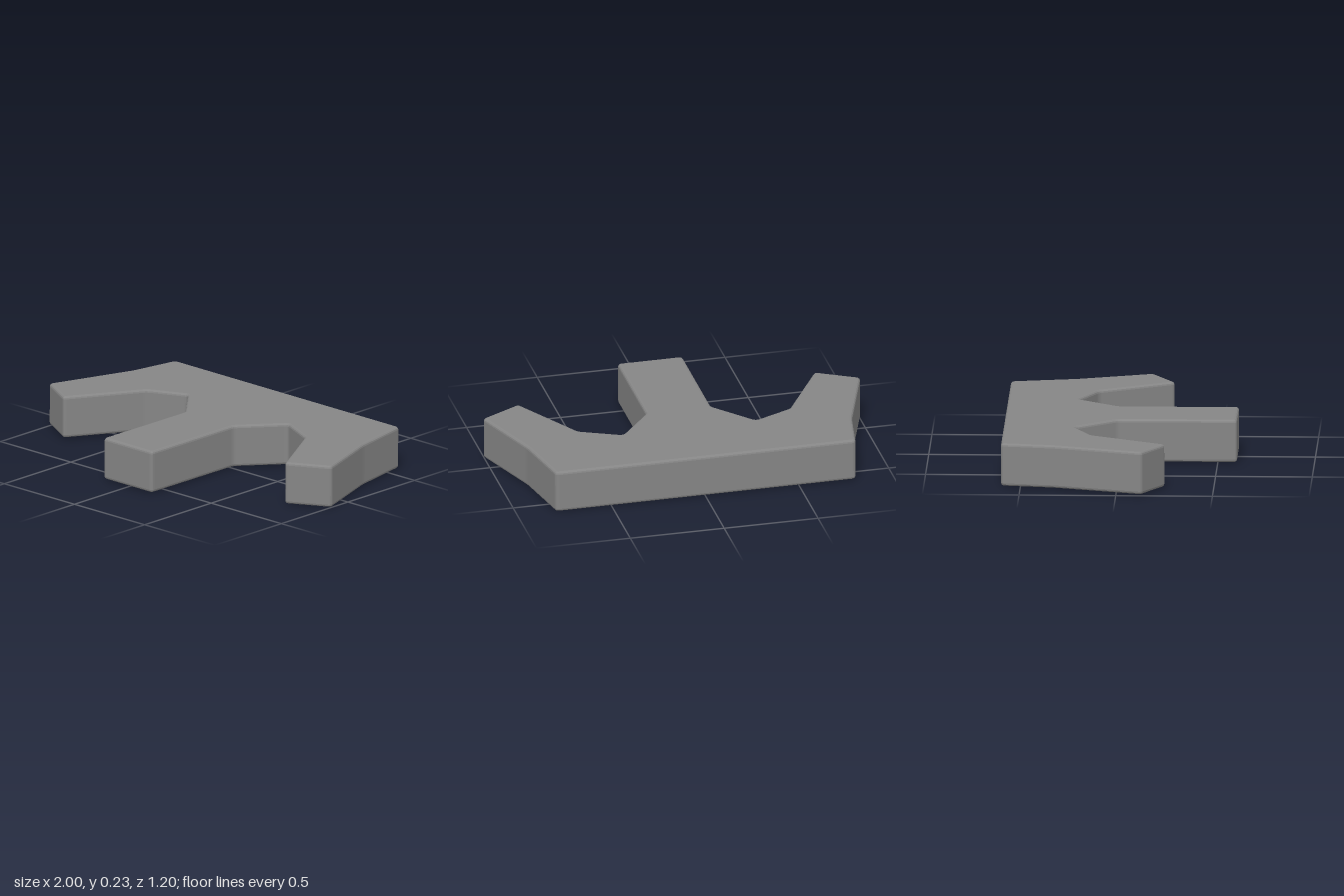
import * as THREE from 'three';

// Plan outline as [x, z], running round the plate
const OUTLINE = [
  [-0.8, -0.601], [-0.848, -0.33], [-1.006, 0.131], [-0.79, 0.251], // right arm, outer side
  [-0.563, -0.138], [-0.36, -0.231], [-0.174, -0.015],              // right notch
  [-0.174, 0.6], [0.172, 0.6],                                      // middle prong
  [0.172, -0.015], [0.35, -0.235], [0.562, -0.138],                 // left notch
  [0.787, 0.251], [1.006, 0.131], [0.866, -0.26], [0.797, -0.601],  // left arm, outer side
];
const THICKNESS = 0.224;
const BEVEL = 0.015;
const CORNER = 0.02;

// Closed shape with every corner slightly rounded
function roundedShape(points, setback) {
  const pts = points.map(([x, z]) => new THREE.Vector2(x, -z));
  const shape = new THREE.Shape();
  pts.forEach((p, i) => {
    const prev = pts[(i + pts.length - 1) % pts.length];
    const next = pts[(i + 1) % pts.length];
    const a = p.clone().add(prev.clone().sub(p).setLength(setback));
    const b = p.clone().add(next.clone().sub(p).setLength(setback));
    if (i === 0) shape.moveTo(a.x, a.y);
    else shape.lineTo(a.x, a.y);
    shape.quadraticCurveTo(p.x, p.y, b.x, b.y);
  });
  shape.closePath();
  return shape;
}

export function createModel() {
  const group = new THREE.Group();
  group.name = 'prongedPlate';

  // Flat plate with three prongs and softened edges
  const geometry = new THREE.ExtrudeGeometry(roundedShape(OUTLINE, CORNER), {
    depth: THICKNESS - 2 * BEVEL,
    bevelEnabled: true,
    bevelThickness: BEVEL,
    bevelSize: BEVEL,
    bevelOffset: -BEVEL,
    bevelSegments: 3,
    curveSegments: 4,
  });
  geometry.translate(0, 0, BEVEL - THICKNESS / 2);
  geometry.rotateX(-Math.PI / 2);
  // The plate lies very slightly tilted
  geometry.rotateZ(-0.003);
  geometry.rotateX(-0.002);
  geometry.translate(0, 0.116, 0);

  const plate = new THREE.Mesh(geometry, new THREE.MeshStandardMaterial({ color: 0x868686 }));
  plate.name = 'plate';
  group.add(plate);
  return group;
}
